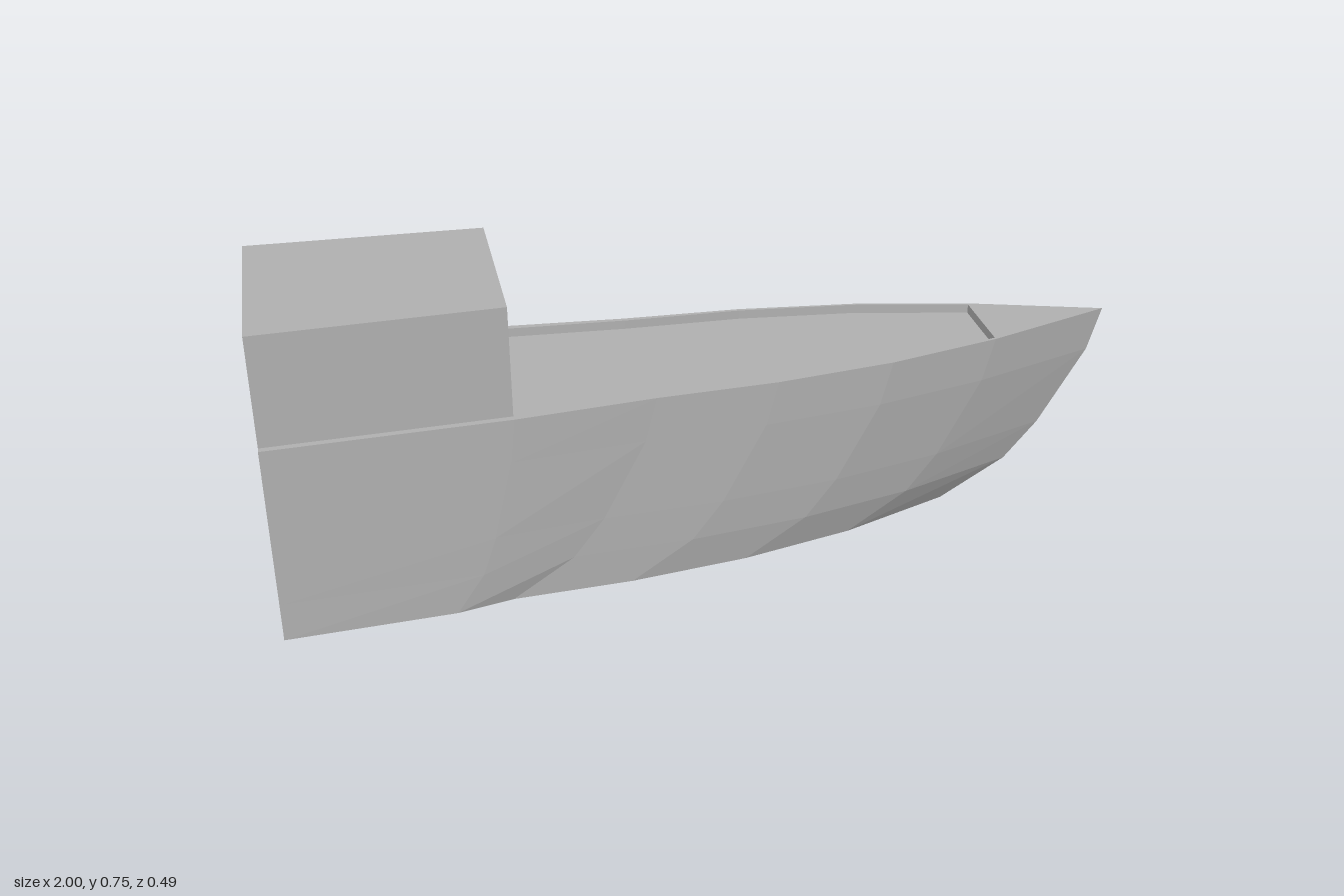
import * as THREE from 'three';

const TOP = 0.487, FLOOR = 0.465, ROOF = 0.75, DOOR_TOP = 0.532;

// Hull stations: x at the rim, outer half width, inner half width, share of the bow rake
const stations = [
  [-1, 0.243, 0.228, 0], [-0.46, 0.226, 0.211, 0.4], [-0.14, 0.2, 0.189, 0.9],
  [0.14, 0.189, 0.181, 0.9], [0.42, 0.156, 0.15, 0.9], [0.69, 0.097, 0.09, 0.9], [1, 0, 0, 1],
];
// Bow rake: height and how far the stem is set back there
const levels = [[0, 0.38], [0.095, 0.22], [0.19, 0.14], [0.38, 0.03], [TOP, 0]];

// Collects quads together with their mirror image across z = 0
function mirroredSurface(build) {
  const pos = [];
  const tri = (...pts) => pts.forEach((p) => pos.push(...p));
  const flip = ([x, y, z]) => [x, y, -z];
  build((a, b, c, d) => {
    tri(a, b, c); tri(a, c, d);
    const [e, f, g, h] = [d, c, b, a].map(flip);
    tri(e, f, g); tri(e, g, h);
  });
  const geo = new THREE.BufferGeometry();
  geo.setAttribute('position', new THREE.Float32BufferAttribute(pos, 3));
  geo.computeVertexNormals();
  return geo;
}

export function createModel() {
  const group = new THREE.Group();
  const grey = new THREE.MeshStandardMaterial({ color: 0xb0b0b0 });
  grey.name = 'grey';
  const add = (geo, name) => {
    const mesh = new THREE.Mesh(geo, grey);
    mesh.name = name;
    group.add(mesh);
  };

  const hullPoint = (i, j) => {
    const [x, w, , rake] = stations[i];
    return [x - rake * levels[j][1], levels[j][0], w];
  };
  const centre = ([x, y]) => [x, y, 0];
  const outer = (i) => [stations[i][0], TOP, stations[i][1]];
  const inner = (i, y) => [stations[i][0], y, stations[i][2]];

  // Faceted sides, flat bottom and transom
  add(mirroredSurface((quad) => {
    for (let i = 0; i < 6; i++) {
      for (let j = 0; j < 4; j++) {
        quad(hullPoint(i, j), hullPoint(i + 1, j), hullPoint(i + 1, j + 1), hullPoint(i, j + 1));
      }
      const a = hullPoint(i, 0), b = hullPoint(i + 1, 0);
      quad(a, centre(a), centre(b), b);
    }
    quad([-1, 0, 0], [-1, 0, 0.243], [-1, TOP, 0.243], [-1, TOP, 0]);
  }), 'hull');

  // Rim, its inner walls and the foredeck
  add(mirroredSurface((quad) => {
    for (let i = 0; i < 5; i++) {
      quad(outer(i), outer(i + 1), inner(i + 1, TOP), inner(i, TOP));
      quad(inner(i + 1, FLOOR), inner(i, FLOOR), inner(i, TOP), inner(i + 1, TOP));
    }
    const step = inner(5, FLOOR), edge = inner(5, TOP);
    quad(centre(step), step, edge, centre(edge));
    quad(outer(5), outer(6), centre(edge), edge);
  }), 'bulwark');

  // Sunken deck
  add(mirroredSurface((quad) => {
    for (let i = 0; i < 5; i++) {
      const a = inner(i, FLOOR), b = inner(i + 1, FLOOR);
      quad(a, b, centre(b), centre(a));
    }
  }), 'deck');

  // Tapered cabin: the lower layer has a doorway notch in its front
  const layer = (doorway, y0, y1, name) => {
    const f = -0.46, n = -0.56;
    const pts = [[-1, -0.228], [f, -0.211]];
    if (doorway) pts.push([f, -0.021], [n, -0.021], [n, 0.013], [f, 0.013]);
    pts.push([f, 0.211], [-1, 0.228]);
    const shape = new THREE.Shape(pts.map(([x, y]) => new THREE.Vector2(x, y)));
    const geo = new THREE.ExtrudeGeometry(shape, { depth: y1 - y0, bevelEnabled: false });
    add(geo.rotateX(-Math.PI / 2).translate(0, y0, 0), name);
  };
  layer(true, FLOOR, DOOR_TOP, 'cabinBaseWithDoorway');
  layer(false, DOOR_TOP, ROOF, 'cabinTop');

  return group;
}
